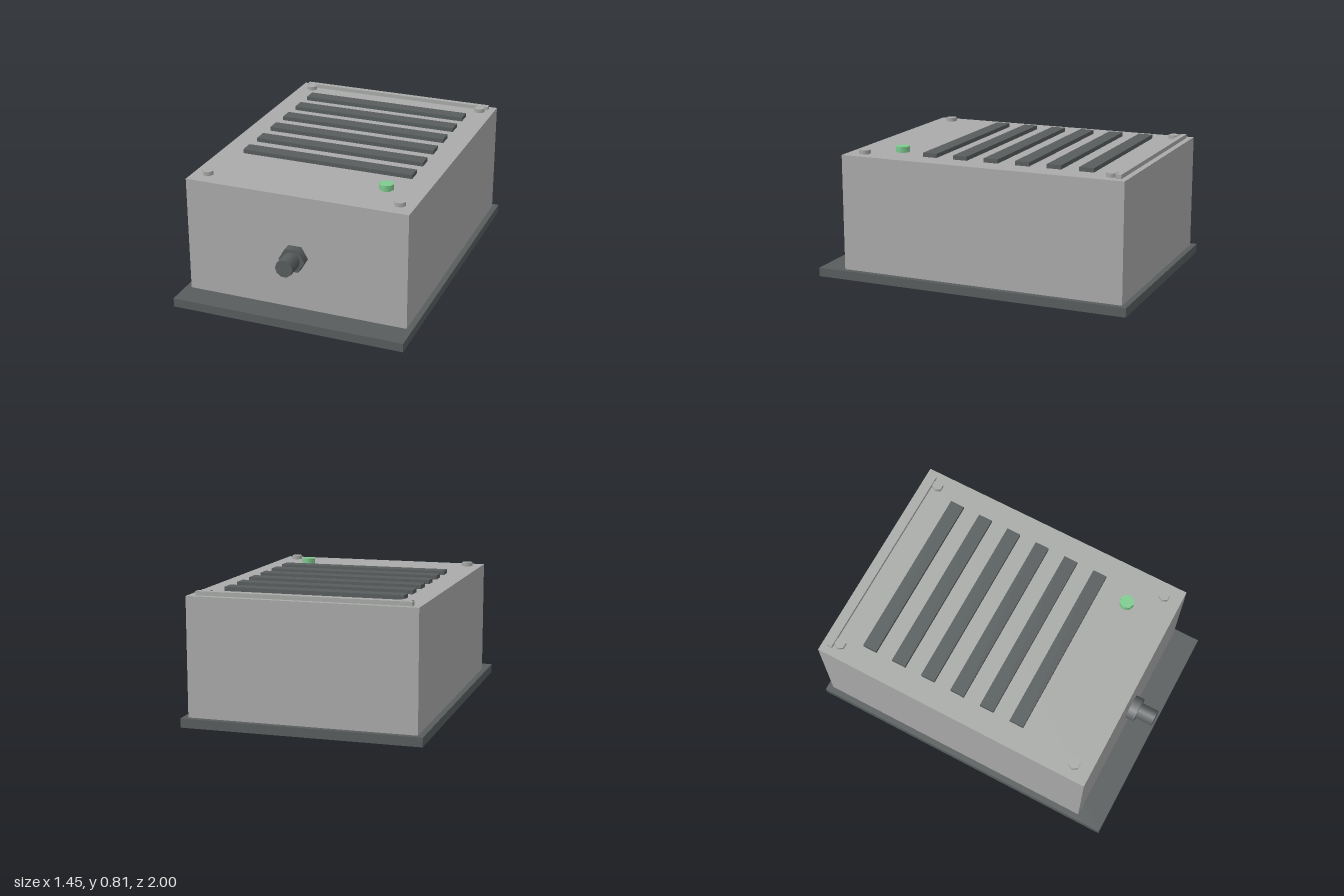
import * as THREE from 'three';

export function createModel() {
  const model = new THREE.Group();
  model.name = 'ventedBox';

  const material = (name, color) => {
    const m = new THREE.MeshStandardMaterial({ color });
    m.name = name;
    return m;
  };
  const grey = material('light grey', 0xa9aba9);
  const dark = material('dark grey', 0x585d5d);
  const green = material('green', 0x7fcb90);

  const add = (name, geometry, mat, x, y, z) => {
    const mesh = new THREE.Mesh(geometry, mat);
    mesh.name = name;
    mesh.position.set(x, y, z);
    model.add(mesh);
    return mesh;
  };
  const box = (w, h, d) => new THREE.BoxGeometry(w, h, d);
  // Prism with corners on the x axis
  const prism = (r, h, sides) => new THREE.CylinderGeometry(r, r, h, sides).rotateY(Math.PI / 2);

  const top = 0.775;

  // Base plate and housing
  add('basePlate', box(1.454, 0.055, 2), dark, 0, 0.0275, 0);
  add('housing', box(1.382, top - 0.055, 1.8), grey, 0, (top + 0.055) / 2, -0.065);

  // Vent slats across the lid
  for (let i = 0; i < 6; i++) {
    add('ventSlat', box(1.09, 0.025, 0.09), dark, 0, top + 0.0125, -0.687 + i * 0.2);
  }

  // Hinge bar along the back edge
  add('hingeBar', box(1.29, 0.025, 0.035), grey, 0, top + 0.0125, -0.912);

  // Lid screws in the corners
  for (const x of [-0.6, 0.6]) {
    for (const z of [-0.86, 0.725]) {
      add('lidScrew', prism(0.035, 0.025, 6), grey, x, top + 0.0125, z);
    }
  }

  // Indicator lamp
  add('indicatorLamp', prism(0.045, 0.035, 8), green, 0.453, top + 0.0175, 0.543);

  // Cable gland and cable on the front
  add('cableGland', prism(0.081, 0.055, 6).rotateX(Math.PI / 2), dark, 0, 0.39, 0.8625);
  add('cable', prism(0.054, 0.165, 10).rotateX(Math.PI / 2), dark, 0, 0.39, 0.9175);

  return model;
}
